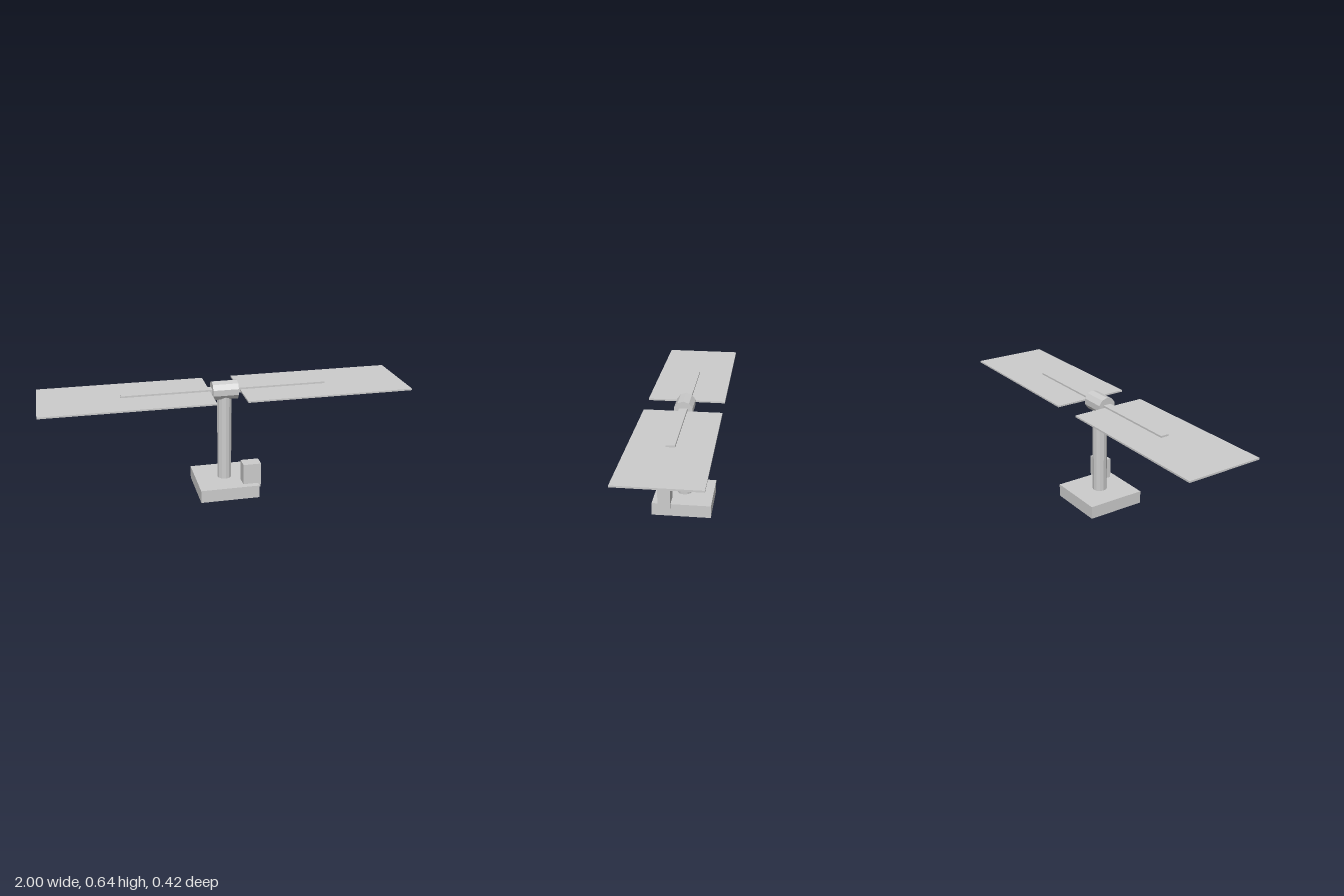
import * as THREE from 'three';

export function createModel() {
  const model = new THREE.Group();
  model.name = 'solarPanelStand';

  const grey = new THREE.MeshStandardMaterial({ color: 0xcccccc });
  grey.name = 'plain grey';

  function add(name, geometry, x, y, z) {
    const mesh = new THREE.Mesh(geometry, grey);
    mesh.name = name;
    mesh.position.set(x, y, z);
    model.add(mesh);
    return mesh;
  }

  // Faceted cylinder with one flat normal per side
  function facetedCylinder(radius, length, sides) {
    const geometry = new THREE.CylinderGeometry(radius, radius, length, sides).toNonIndexed();
    geometry.computeVertexNormals();
    return geometry;
  }

  const axisY = 0.589;

  // Square foot with a control box hanging over its edge
  add('base', new THREE.BoxGeometry(0.33, 0.072, 0.33), 0, 0.036, 0);
  add('controlBox', new THREE.BoxGeometry(0.1, 0.141, 0.07), 0.13, 0.1185, 0.095);

  // Mast rising into the pivot drum
  add('mast', facetedCylinder(0.04, 0.513, 12), 0, 0.3285, 0);

  // Pivot drum lying along x, one corner pointing straight up
  const drum = facetedCylinder(0.053, 0.14, 10);
  drum.rotateY(Math.PI / 2);
  drum.rotateZ(Math.PI / 2);
  add('pivotDrum', drum, 0, axisY, 0);

  // Cross arm carrying both panels
  add('crossArm', new THREE.BoxGeometry(1.126, 0.028, 0.045), 0, axisY, 0);

  // Mirrored pair of panels
  for (const side of [-1, 1]) {
    add(side > 0 ? 'leftPanel' : 'rightPanel',
      new THREE.BoxGeometry(0.917, 0.009, 0.423), side * 0.5415, axisY, 0);
  }

  return model;
}
